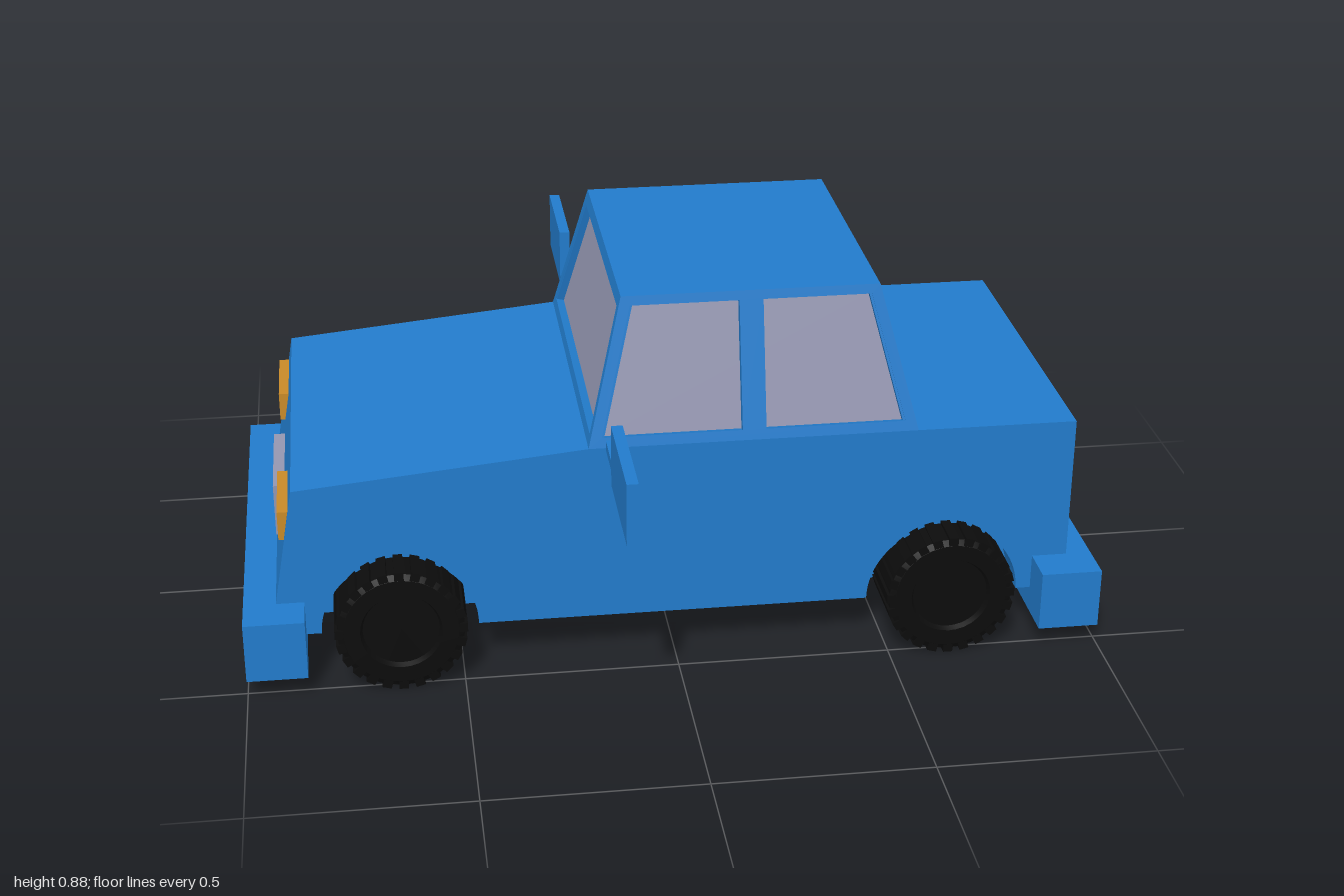
import * as THREE from 'three';
import { toCreasedNormals } from 'three/addons/utils/BufferGeometryUtils.js';

const paint = new THREE.MeshStandardMaterial({ name: 'blue paint', color: 0x227bcb });
const glass = new THREE.MeshStandardMaterial({ name: 'grey glass', color: 0x9496b0 });
const amber = new THREE.MeshStandardMaterial({ name: 'amber lamp', color: 0xc88a28 });
const rubber = new THREE.MeshStandardMaterial({ name: 'black rubber', color: 0x0c0c0c });

const WHEEL_X = [-0.643, 0.64];
const HALF_WIDTH = 0.435;
const WELL_Z = 0.34;

function add(parent, name, geometry, material) {
  const mesh = new THREE.Mesh(geometry, material);
  mesh.name = name;
  parent.add(mesh);
  return mesh;
}

// box given by its minimum and maximum corners
function block(parent, name, material, [x0, y0, z0], [x1, y1, z1]) {
  const mesh = add(parent, name, new THREE.BoxGeometry(x1 - x0, y1 - y0, z1 - z0), material);
  mesh.position.set((x0 + x1) / 2, (y0 + y1) / 2, (z0 + z1) / 2);
  return mesh;
}

function extrude(shape, z, depth) {
  const geometry = new THREE.ExtrudeGeometry(shape, { depth, bevelEnabled: false, curveSegments: 24 });
  return geometry.translate(0, 0, z);
}

function polygon(points, Type = THREE.Shape) {
  return new Type(points.map(([x, y]) => new THREE.Vector2(x, y)));
}

// side profile of the lower body, with or without wheel arches
function bodyShape(arches) {
  const shape = new THREE.Shape();
  shape.moveTo(0.94, 0.11);
  shape.lineTo(0.94, 0.545);
  shape.lineTo(-0.2, 0.545);
  shape.lineTo(-0.875, 0.48);
  shape.lineTo(-0.94, 0.11);
  if (arches) for (const x of WHEEL_X) {
    shape.lineTo(x - 0.182, 0.11);
    shape.absarc(x, 0.11, 0.182, Math.PI, 0, true);
  }
  shape.closePath();
  return shape;
}

function makeBody() {
  const body = new THREE.Group();
  body.name = 'body';
  add(body, 'bodyCore', extrude(bodyShape(false), -WELL_Z, 2 * WELL_Z), paint);
  const depth = HALF_WIDTH - WELL_Z;
  add(body, 'leftFlank', extrude(bodyShape(true), WELL_Z, depth), paint);
  add(body, 'rightFlank', extrude(bodyShape(true), -HALF_WIDTH, depth), paint);
  return body;
}

// tapered cabin: four sloping frames around recessed glass, closed by a roof
function makeCabin() {
  const cabin = new THREE.Group();
  cabin.name = 'cabin';
  const height = 0.335, inset = 0.085;
  const slope = Math.hypot(height, inset), tilt = Math.atan2(inset, height);
  const halfX = 0.3825, halfZ = HALF_WIDTH;

  const addWall = (name, half, distance, angle, split) => {
    const edge = (v) => half - inset * v / slope;
    const low = 0.024, high = slope - (split ? 0.022 : 0.03), rim = 0.025;
    const frame = polygon([[-half, 0], [half, 0], [edge(slope), slope], [-edge(slope), slope]]);
    const a = edge(low) - rim, b = edge(high) - rim;
    if (split) {
      const pillar = 0.0275;
      frame.holes.push(polygon([[pillar, low], [a, low], [b, high], [pillar, high]], THREE.Path));
      frame.holes.push(polygon([[-pillar, low], [-a, low], [-b, high], [-pillar, high]], THREE.Path));
    } else {
      frame.holes.push(polygon([[-a, low], [a, low], [b, high], [-b, high]], THREE.Path));
    }
    const pane = polygon([[-a - 0.004, low - 0.004], [a + 0.004, low - 0.004],
      [b + 0.004, high + 0.004], [-b - 0.004, high + 0.004]]);
    const place = (geometry) => geometry.rotateX(-tilt).translate(0, 0, distance).rotateY(angle);
    add(cabin, name + 'Frame', place(extrude(frame, -0.03, 0.03)), paint);
    add(cabin, name + 'Glass', place(extrude(pane, -0.028, 0.008)), glass);
  };
  addWall('leftSide', halfX, halfZ, 0, true);
  addWall('rightSide', halfX, halfZ, Math.PI, true);
  addWall('rearWindow', halfZ, halfX, Math.PI / 2, false);
  addWall('windscreen', halfZ, halfX, -Math.PI / 2, false);

  const rx = halfX - inset, rz = halfZ - inset;
  block(cabin, 'roof', paint, [-rx, height - 0.018, -rz], [rx, height, rz]);
  cabin.position.set(0.1825, 0.545, 0);
  return cabin;
}

// tyre with recessed hub and a ring of tread bars
function makeWheel() {
  const wheel = new THREE.Group();
  wheel.name = 'wheel';
  const half = 0.0875;
  const profile = [[0, -0.075], [0.088, -0.075], [0.094, -half], [0.132, -half], [0.146, -0.08],
    [0.146, 0.08], [0.132, half], [0.094, half], [0.088, 0.075], [0, 0.075]]
    .map(([r, y]) => new THREE.Vector2(r, y));
  const tyre = new THREE.LatheGeometry(profile, 32).rotateX(Math.PI / 2);
  add(wheel, 'tyre', toCreasedNormals(tyre, 0.4), rubber);
  const count = 24;
  for (let i = 0; i < count; i++) {
    const bar = new THREE.BoxGeometry(0.022, 0.02, 2 * half);
    bar.translate(0, 0.142, 0).rotateZ(i / count * Math.PI * 2);
    add(wheel, 'treadBar', bar, rubber);
  }
  return wheel;
}

export function createModel() {
  const car = new THREE.Group();
  car.name = 'car';
  car.add(makeBody(), makeCabin());

  // bumpers
  block(car, 'frontBumper', paint, [-1, 0.05, -0.53], [-0.86, 0.195, 0.53]);
  block(car, 'rearBumper', paint, [0.857, 0.05, -0.53], [1, 0.195, 0.53]);

  // nose plate between the headlights
  block(car, 'nosePlate', glass, [-0.925, 0.22, -0.143], [-0.885, 0.35, 0.143]);

  for (const side of [1, -1]) {
    const span = (a, b) => side > 0 ? [a, b] : [-b, -a];

    // headlights
    let [z0, z1] = span(0.215, 0.425);
    block(car, 'headlight', amber, [-0.909, 0.355, z0], [-0.87, 0.425, z1]);

    // door mirrors on thin arms
    [z0, z1] = span(0.4, 0.59);
    block(car, 'mirrorArm', paint, [-0.16, 0.538, z0], [-0.145, 0.562, z1]);
    [z0, z1] = span(0.59, 0.875);
    block(car, 'mirror', paint, [-0.166, 0.53, z0], [-0.14, 0.675, z1]);

    // wheels
    for (const x of WHEEL_X) {
      const wheel = makeWheel();
      wheel.position.set(x, 0.153, side * 0.4375);
      car.add(wheel);
    }
  }
  return car;
}
